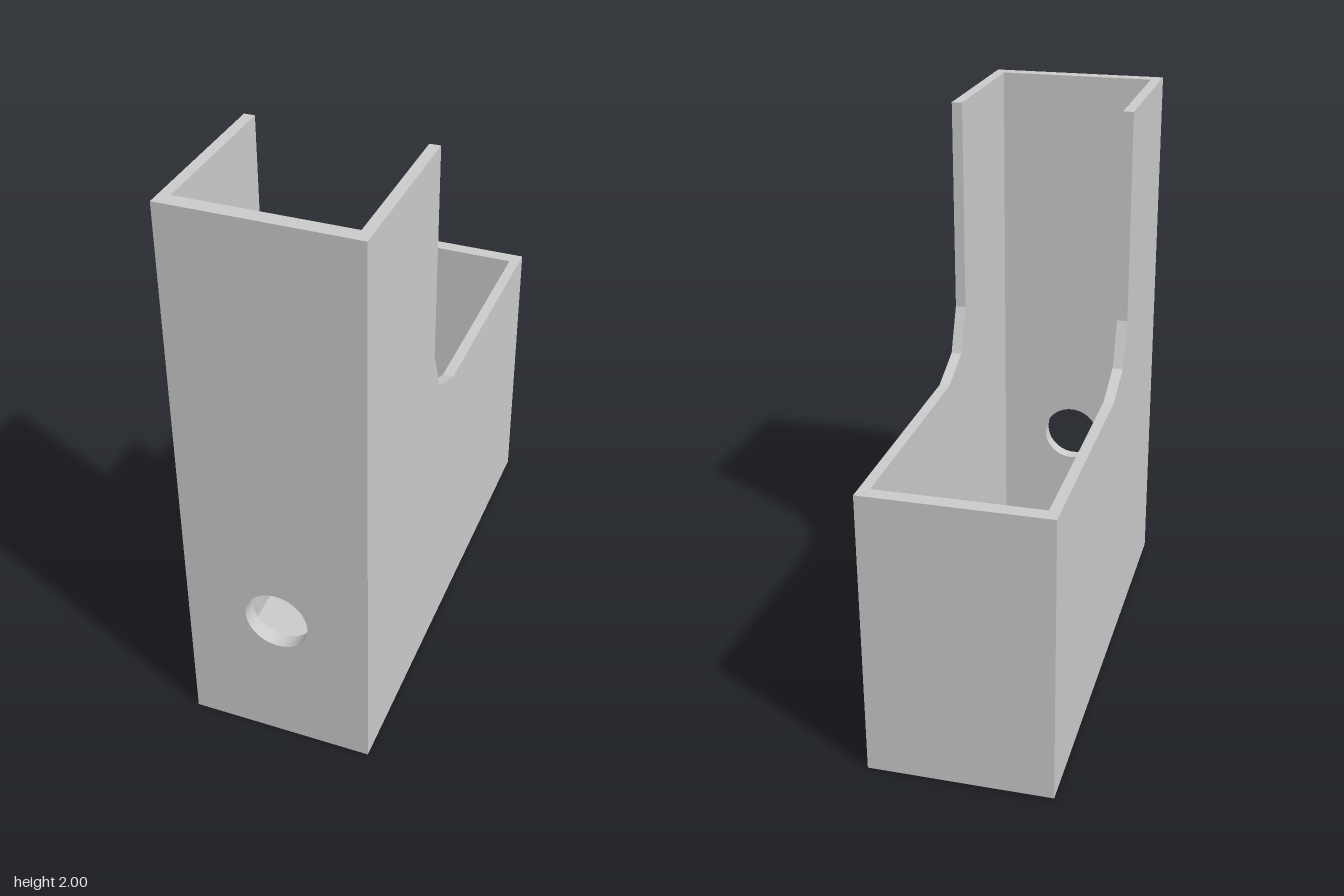
import * as THREE from 'three';

const W = 0.32, D = 0.86, H = 2, LOW = 1.025; // half width, half depth, tall and low heights
const SIDE = 0.037, END = 0.053, FLOOR = 0.05; // wall thicknesses

export function createModel() {
  const group = new THREE.Group();
  const material = new THREE.MeshStandardMaterial({ color: 0xcccccc, flatShading: true });
  const add = (name, geometry, x, y, z) => {
    const mesh = new THREE.Mesh(geometry, material);
    mesh.name = name;
    mesh.position.set(x, y, z);
    group.add(mesh);
  };

  // Side walls: L-shaped profile in (z, y) with a faceted inner corner
  const profile = new THREE.Shape([
    [-D, 0], [D, 0], [D, H], [0.245, H], [0.245, 1.25], [0.18, 1.09], [0.025, LOW], [-D, LOW],
  ].map(([z, y]) => new THREE.Vector2(z, y)));
  const side = new THREE.ExtrudeGeometry(profile, { depth: SIDE, bevelEnabled: false });
  side.rotateY(-Math.PI / 2);
  add('leftWall', side, W, 0, 0);
  add('rightWall', side, -W + SIDE, 0, 0);

  // Tall front wall with a round hole
  const inner = W - SIDE;
  const front = new THREE.Shape([
    new THREE.Vector2(-inner, 0), new THREE.Vector2(inner, 0),
    new THREE.Vector2(inner, H), new THREE.Vector2(-inner, H),
  ]);
  front.holes.push(new THREE.Path().absarc(0, 0.515, 0.11, 0, Math.PI * 2, true));
  add('frontWall', new THREE.ExtrudeGeometry(front, { depth: END, bevelEnabled: false, curveSegments: 48 }), 0, 0, D - END);

  // Low back wall and floor
  add('backWall', new THREE.BoxGeometry(inner * 2, LOW, END), 0, LOW / 2, -D + END / 2);
  add('floor', new THREE.BoxGeometry(inner * 2, FLOOR, (D - END) * 2), 0, FLOOR / 2, 0);

  return group;
}
